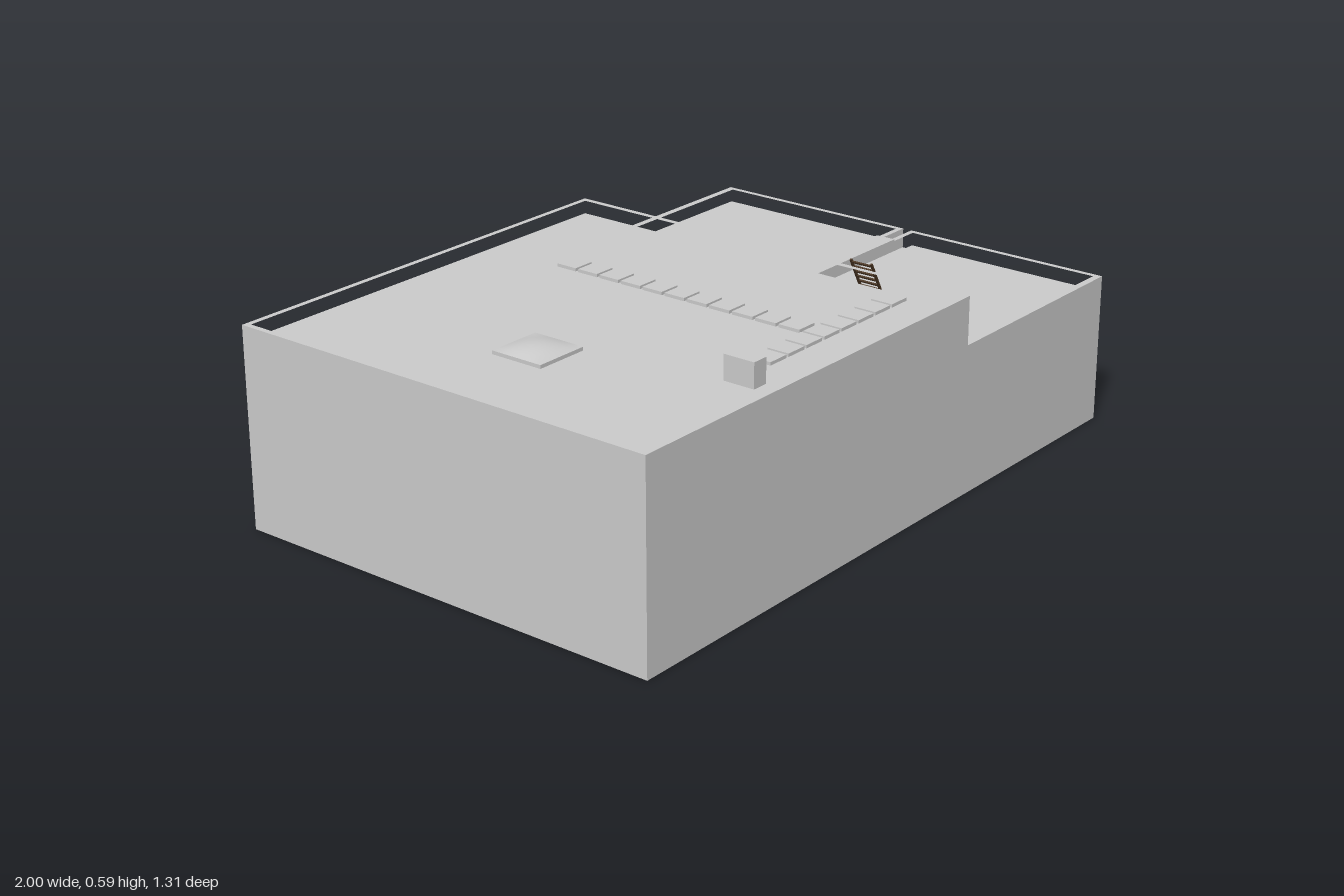
import * as THREE from 'three';

const grey = new THREE.MeshStandardMaterial({ color: 0xcccccc });
const wood = new THREE.MeshStandardMaterial({ color: 0x4a3522 });

function add(parent, name, geometry, material = grey) {
  const mesh = new THREE.Mesh(geometry, material);
  mesh.name = name;
  parent.add(mesh);
  return mesh;
}

// Box given by its limits on each axis
function box(parent, name, [x0, x1], [y0, y1], [z0, z1], material) {
  const mesh = add(parent, name, new THREE.BoxGeometry(x1 - x0, y1 - y0, z1 - z0), material);
  mesh.position.set((x0 + x1) / 2, (y0 + y1) / 2, (z0 + z1) / 2);
  return mesh;
}

function rectangle(target, [x0, x1], [z0, z1]) {
  target.moveTo(x0, -z0).lineTo(x1, -z0).lineTo(x1, -z1).lineTo(x0, -z1).closePath();
  return target;
}

// Rectangular rim, outer limits with inner limits cut out
function parapet(parent, name, outerX, outerZ, innerX, innerZ, [y0, y1]) {
  const shape = rectangle(new THREE.Shape(), outerX, outerZ);
  shape.holes.push(rectangle(new THREE.Path(), innerX, innerZ));
  const geometry = new THREE.ExtrudeGeometry(shape, { depth: y1 - y0, bevelEnabled: false });
  geometry.rotateX(-Math.PI / 2).translate(0, y0, 0);
  add(parent, name, geometry);
}

export function createModel() {
  const model = new THREE.Group();
  model.name = 'rooftops';
  const split = 0.315, depth = 0.656, roofY = 0.52;

  // Tall building
  const tall = new THREE.Group();
  tall.name = 'tallBuilding';
  model.add(tall);
  box(tall, 'tallBlock', [-1, split], [0, roofY], [-depth, depth]);
  parapet(tall, 'tallParapet', [-1, split], [-depth, depth], [-0.984, 0.298], [-0.64, 0.64], [roofY, 0.565]);

  // Low building: two roof basins with a drainage channel between them
  const low = new THREE.Group();
  low.name = 'lowBuilding';
  model.add(low);
  box(low, 'lowBlock', [split, 1], [0, 0.37], [-depth, depth]);
  for (const s of [-1, 1]) {
    const span = (a, b) => (s > 0 ? [a, b] : [-b, -a]);
    parapet(low, 'lowParapet', [split, 1], span(0.014, depth), [0.337, 0.984], span(0.03, 0.636), [0.37, 0.428]);
    box(low, 'lowRoof', [0.33, 0.99], [0.37, 0.387], span(0.025, 0.645));
  }
  box(low, 'channelCover', [0.43, 0.89], [0.427, 0.433], [-0.03, 0.03]);

  // Stepping slabs in a T on the tall roof
  const path = new THREE.Group();
  path.name = 'walkway';
  model.add(path);
  const slab = (x, z) =>
    box(path, 'pavingSlab', [x - 0.033, x + 0.033], [roofY, roofY + 0.009], [z - 0.033, z + 0.033]);
  for (let i = 0; i < 11; i++) slab(-0.048, -0.381 + i * 0.075);
  for (let i = 0; i < 8; i++) slab(-0.273 + i * 0.075, 0.447);

  // Skylight: shallow frame under a softly domed pane
  const skylight = new THREE.Group();
  skylight.name = 'skylight';
  skylight.position.set(-0.594, roofY, -0.027);
  model.add(skylight);
  box(skylight, 'skylightFrame', [-0.08, 0.08], [0, 0.01], [-0.08, 0.08]);
  const dome = new THREE.PlaneGeometry(0.16, 0.16, 8, 8).rotateX(-Math.PI / 2);
  const p = dome.attributes.position;
  for (let i = 0; i < p.count; i++) {
    const u = p.getX(i) / 0.08, v = p.getZ(i) / 0.08;
    p.setY(i, 0.01 + 0.014 * (1 - u * u) * (1 - v * v));
  }
  dome.computeVertexNormals();
  add(skylight, 'skylightPane', dome);

  // Ventilation unit with a round fan on its side
  const vent = new THREE.Group();
  vent.name = 'ventilationUnit';
  model.add(vent);
  box(vent, 'ventHousing', [-0.455, -0.407], [roofY, 0.59], [0.45, 0.543]);
  const disc = (name, r, x0, x1) => {
    const mesh = add(vent, name, new THREE.CylinderGeometry(r, r, x1 - x0, 24).rotateZ(Math.PI / 2));
    mesh.position.set((x0 + x1) / 2, 0.562, 0.484);
  };
  disc('fanNeck', 0.011, -0.408, -0.398);
  disc('fanDisc', 0.019, -0.399, -0.39);

  // Ladder leaning from the low roof to the tall parapet
  const ladder = new THREE.Group();
  ladder.name = 'ladder';
  model.add(ladder);
  const foot = new THREE.Vector3(0.413, 0.387, 0.32), top = new THREE.Vector3(0.304, 0.588, 0.32);
  const length = foot.distanceTo(top);
  ladder.position.copy(foot);
  ladder.rotation.z = Math.atan2(foot.x - top.x, top.y - foot.y);
  for (const z of [-0.033, 0.033])
    box(ladder, 'ladderRail', [-0.003, 0.003], [0, length], [z - 0.003, z + 0.003], wood);
  const rungs = 13;
  for (let i = 0; i < rungs; i++) {
    const y = ((i + 0.5) * length) / rungs;
    box(ladder, 'ladderRung', [-0.0025, 0.0025], [y - 0.0025, y + 0.0025], [-0.033, 0.033], wood);
  }
  return model;
}
